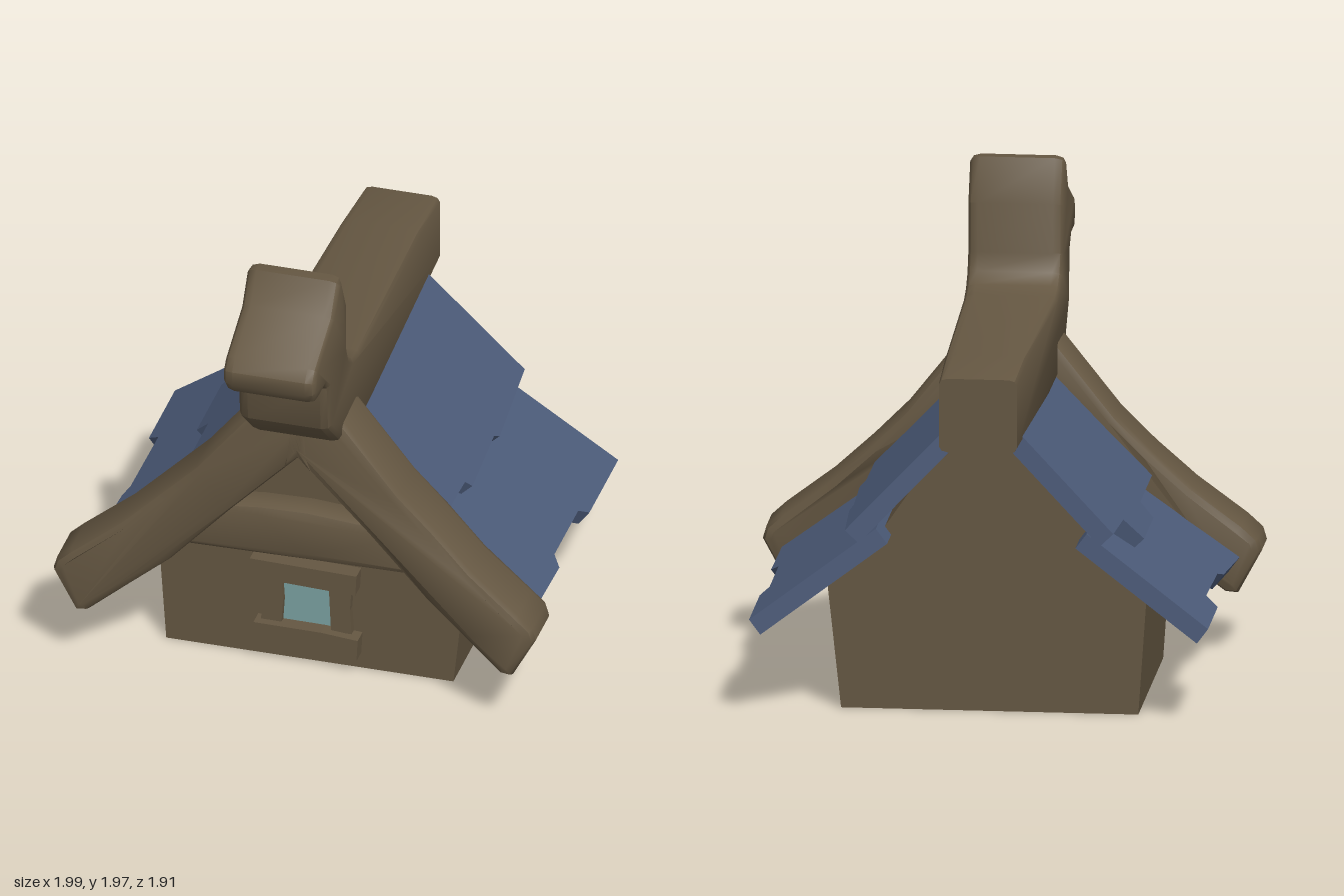
import * as THREE from 'three';
import { toCreasedNormals } from 'three/addons/utils/BufferGeometryUtils.js';

const wood = new THREE.MeshStandardMaterial({ color: 0x655742 });
wood.name = 'brown wood';
const slate = new THREE.MeshStandardMaterial({ color: 0x4c5b79 });
slate.name = 'blue shingle';
const pane = new THREE.MeshStandardMaterial({ color: 0x7ba2a2 });
pane.name = 'window glass';

const toShape = (pts) => new THREE.Shape(pts.map(([x, y]) => new THREE.Vector2(x, y)));

// Extrude an outline from z0 to z1, with softly rounded edges when bevel > 0
function slab(pts, z0, z1, bevel = 0, inset = bevel) {
  const geo = new THREE.ExtrudeGeometry(toShape(pts), {
    depth: z1 - z0 - 2 * bevel, bevelEnabled: bevel > 0, bevelThickness: bevel,
    bevelSize: inset, bevelOffset: -inset, bevelSegments: 2, steps: 1,
  });
  return geo.translate(0, 0, z0 + bevel);
}

// Move every vertex by a rule
function reshape(geo, rule) {
  const p = geo.attributes.position;
  const v = new THREE.Vector3();
  for (let i = 0; i < p.count; i++) {
    rule(v.fromBufferAttribute(p, i));
    p.setXYZ(i, v.x, v.y, v.z);
  }
  geo.computeVertexNormals();
  return geo;
}

const smooth = (geo) => toCreasedNormals(geo, 0.75);

// Sloping layer of shingles; eave is a list of [x, z] from front to back
function shingleRow(side, eave, top, backZ, eaveX, eaveY, slope, thick) {
  const frontZ = eave[0][1];
  const outline = [[top, frontZ], ...eave, [top, backZ]].map(([x, z]) => [side * x, -z]);
  const geo = slab(outline, 0, thick).rotateX(-Math.PI / 2);
  const len = Math.hypot(slope, 1);
  return reshape(geo, (v) => {
    const drop = (v.y - thick) / len;
    v.y = eaveY + (eaveX - Math.abs(v.x)) * slope + drop;
    v.x += side * slope * drop;
  });
}

export function createModel() {
  const model = new THREE.Group();
  model.name = 'cottage';
  const add = (name, geo, mat) => {
    const mesh = new THREE.Mesh(geo, mat);
    mesh.name = name;
    model.add(mesh);
  };

  // Walls with gable ends
  add('walls', slab([
    [-0.61, 0], [0.575, 0], [0.63, 0.51], [0.45, 0.67], [0.3, 0.89], [0, 1.2],
    [-0.3, 0.89], [-0.45, 0.67], [-0.645, 0.51],
  ], -0.63, 0.32), wood);

  // Ridge beam ending in a carved animal head, outline in (z, y)
  const ridge = slab([
    [-0.95, 1.13], [-0.1, 1.11], [0.35, 1.13], [0.57, 1.2], [0.73, 1.35], [0.75, 1.55],
    [0.8, 1.59], [0.92, 1.59], [0.96, 1.64], [0.96, 1.7], [0.92, 1.745], [0.69, 1.85],
    [0.61, 1.97], [0.56, 1.97], [0.48, 1.8], [0.48, 1.6], [0.45, 1.53], [0.39, 1.49],
    [0.3, 1.47], [-0.65, 1.455], [-0.95, 1.43],
  ], -0.19, 0.19, 0.04, 0.025).rotateY(-Math.PI / 2);
  reshape(ridge, (v) => {
    if (v.z < -0.9) v.z = -0.95; // square-cut rear end
    v.x = v.x * (0.82 + 0.18 * THREE.MathUtils.clamp((v.z + 0.95) / 1.4, 0, 1)) - 0.004;
  });
  add('ridgeBeam', smooth(ridge), wood);

  // Curved gable beams, kicked forward at the tips
  for (const side of [1, -1]) {
    const outline = [
      [-0.06, 1.02], [0, 1.08], [0.28, 0.79], [0.53, 0.515], [0.7, 0.38], [0.85, 0.26],
      [0.9, 0.255], [0.995, 0.43], [0.98, 0.48], [0.92, 0.535], [0.72, 0.69], [0.56, 0.84],
      [0.42, 0.98], [0.19, 1.27], [0.15, 1.29], [-0.06, 1.29],
    ].map(([x, y]) => [x * side, y]);
    const geo = reshape(slab(outline, 0.31, 0.57, 0.035), (v) => {
      v.z += 0.06 * THREE.MathUtils.smoothstep(Math.abs(v.x), 0.5, 0.9);
    });
    add(side > 0 ? 'gableBeamLeft' : 'gableBeamRight', smooth(geo), wood);
  }

  // Tie beam across the gable
  add('crossBeam', smooth(slab([
    [-0.56, 0.515], [0, 0.52], [0.56, 0.53], [0.42, 0.74], [0.2, 0.74], [0, 0.755],
    [-0.2, 0.75], [-0.42, 0.725],
  ], 0.28, 0.43, 0.04)), wood);

  // Two overlapping shingle layers on each slope, with stepped eaves
  const upper = {
    1: [[0.54, 0.36], [0.545, 0.05], [0.57, 0.03], [0.555, -0.33], [0.57, -0.36], [0.54, -0.82]],
    [-1]: [[0.565, 0.36], [0.565, -0.12], [0.62, -0.15], [0.62, -0.5], [0.54, -0.53], [0.53, -0.82]],
  };
  const lower = {
    1: [[0.915, 0.37], [0.92, 0], [0.885, -0.05], [0.885, -0.39], [0.92, -0.43], [0.92, -0.84]],
    [-1]: [[0.91, 0.37], [0.885, 0], [0.865, -0.05], [0.86, -0.43], [0.91, -0.47], [0.91, -0.84]],
  };
  for (const side of [1, -1]) {
    const label = side > 0 ? 'Left' : 'Right';
    add('upperShingles' + label,
      shingleRow(side, upper[side], 0.08, -0.775, 0.54, 0.77, 1.04, 0.075), slate);
    add('lowerShingles' + label,
      shingleRow(side, lower[side], 0.42, -0.785, 0.92, 0.4, 0.74, 0.075), slate);
  }

  // Window: glass pane and rough-hewn frame
  add('windowGlass', slab([[-0.14, 0.17], [0.09, 0.17], [0.09, 0.39], [-0.14, 0.39]], 0.32, 0.328), pane);
  add('windowSill', slab([
    [-0.235, 0.09], [0.05, 0.09], [0.195, 0.07], [0.2, 0.165], [0.05, 0.178], [-0.23, 0.18],
  ], 0.3, 0.39), wood);
  add('windowLintel', slab([
    [-0.235, 0.39], [0.19, 0.375], [0.195, 0.465], [-0.245, 0.475],
  ], 0.3, 0.39), wood);
  add('windowJambRight', slab([
    [-0.21, 0.17], [-0.125, 0.17], [-0.118, 0.28], [-0.125, 0.39], [-0.21, 0.39], [-0.2, 0.28],
  ], 0.3, 0.355), wood);
  add('windowJambLeft', slab([
    [0.08, 0.17], [0.165, 0.17], [0.158, 0.28], [0.165, 0.39], [0.07, 0.39], [0.075, 0.28],
  ], 0.3, 0.355), wood);

  return model;
}
